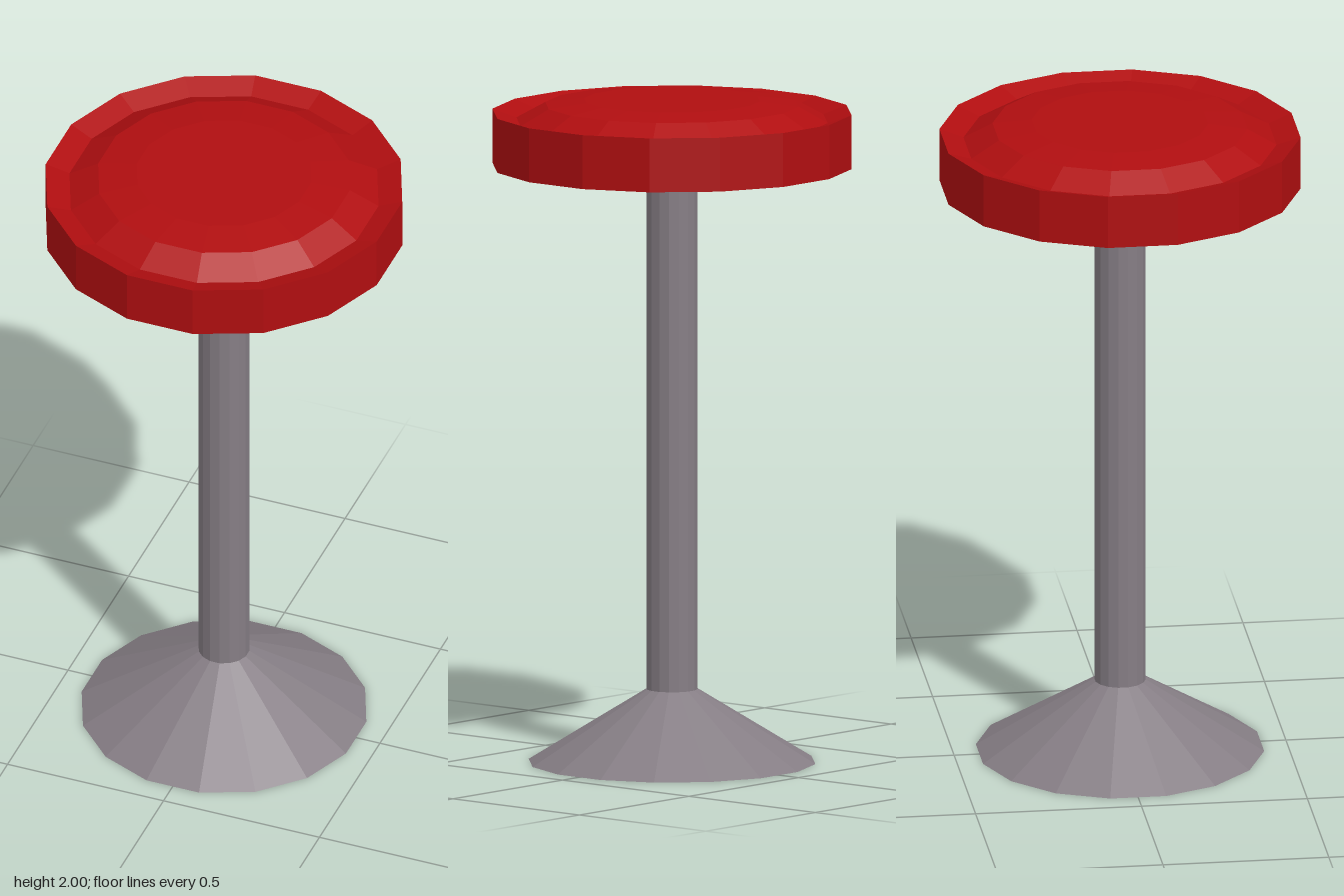
import * as THREE from 'three';

const SIDES = 16;
const TURN = Math.PI / SIDES; // puts a flat side on each axis

// Revolves a [radius, height] profile into a faceted solid
function turned(name, profile, material) {
  const points = profile.map(([r, y]) => new THREE.Vector2(r, y));
  const geometry = new THREE.LatheGeometry(points, SIDES, TURN).toNonIndexed();
  geometry.computeVertexNormals();
  const mesh = new THREE.Mesh(geometry, material);
  mesh.name = name;
  return mesh;
}

export function createModel() {
  const red = new THREE.MeshStandardMaterial({ color: 0xb00e10 });
  red.name = 'red upholstery';
  const grey = new THREE.MeshStandardMaterial({ color: 0x857d84 });
  grey.name = 'grey metal';

  const group = new THREE.Group();
  group.name = 'barStool';

  // Flared foot
  group.add(turned('base', [[0, 0], [0.432, 0], [0.077, 0.22], [0, 0.22]], grey));

  // Column
  group.add(turned('post', [[0.077, 0.22], [0.077, 1.8]], grey));

  // Seat: straight band, sunken groove, then a low domed cushion
  group.add(turned('seat', [
    [0, 1.8], [0.541, 1.8], [0.541, 1.963], [0.469, 1.938],
    [0.382, 1.986], [0.265, 2], [0, 2],
  ], red));

  // Grey section of the seat's underside
  const outline = [new THREE.Vector2(0.02, -0.53)];
  for (let i = 0; i < 7; i++) {
    const a = -Math.PI / 2 - TURN * (2 * i + 1);
    outline.push(new THREE.Vector2(0.541 * Math.cos(a), 0.541 * Math.sin(a)));
  }
  const plate = new THREE.Mesh(new THREE.ShapeGeometry(new THREE.Shape(outline)), grey);
  plate.name = 'seatUnderside';
  plate.rotation.x = Math.PI / 2; // faces down, shape y becomes z
  plate.position.y = 1.798;
  group.add(plate);

  return group;
}
